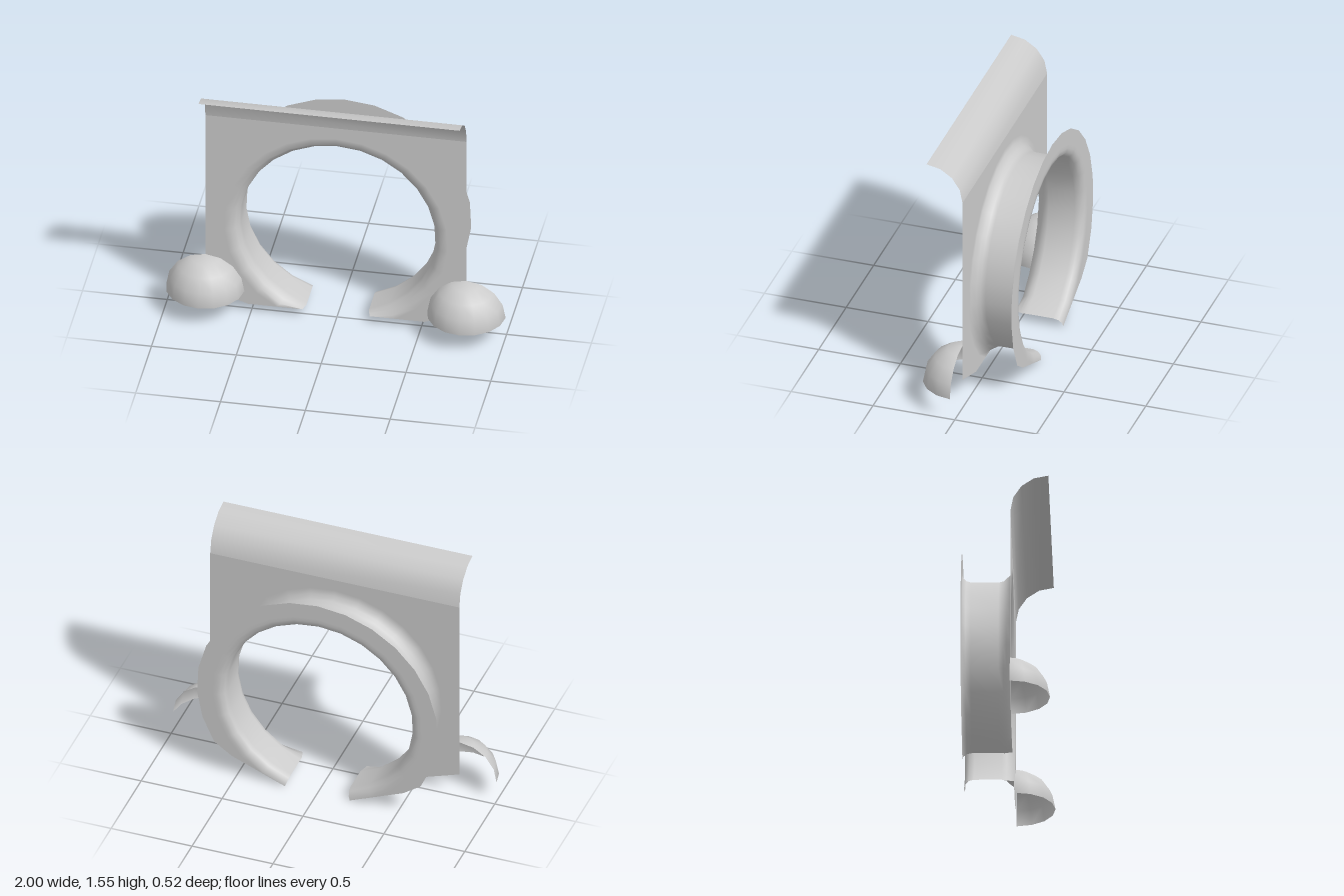
import * as THREE from 'three';

const material = new THREE.MeshStandardMaterial({ color: 0xcccccc, side: THREE.DoubleSide });
const CY = 0.597;                        // height of the ring's axis
const GAP = THREE.MathUtils.degToRad(18.6); // half of the opening at the bottom
const SEGS = 24;
const FLOOR = 0.05;                      // lower edge of the plate
const PLATE_Z = 0.03;

// Smooth open sheet from a rule point(i, j)
function sheet(name, nu, nv, point) {
  const pos = [], index = [];
  for (let i = 0; i <= nu; i++) for (let j = 0; j <= nv; j++) pos.push(...point(i, j));
  for (let i = 0; i < nu; i++) for (let j = 0; j < nv; j++) {
    const a = i * (nv + 1) + j, b = a + nv + 1;
    index.push(a, b, a + 1, b, b + 1, a + 1);
  }
  const g = new THREE.BufferGeometry();
  g.setAttribute('position', new THREE.Float32BufferAttribute(pos, 3));
  g.setIndex(index);
  g.computeVertexNormals();
  const m = new THREE.Mesh(g, material);
  m.name = name;
  return m;
}

// Point on the open ring, step i counted from the right-hand end of the gap
function ringPoint(i, r) {
  const t = GAP + (2 * Math.PI - 2 * GAP) * i / SEGS;
  return [r * Math.sin(t), CY - r * Math.cos(t)];
}

export function createModel() {
  const group = new THREE.Group();
  group.name = 'ringBracket';

  // Flat plate with an open round cut-out
  const outline = [[-0.52, FLOOR], [-0.77, 0.135], [-0.77, 1.33], [0.77, 1.33], [0.77, 0.135], [0.52, FLOOR]];
  for (let i = 0; i <= SEGS; i++) {
    const [x, y] = ringPoint(i, 0.66);
    outline.push([x, Math.max(y, FLOOR)]);
  }
  const shape = new THREE.Shape(outline.map(([x, y]) => new THREE.Vector2(x, y)));
  const plate = new THREE.Mesh(new THREE.ShapeGeometry(shape), material);
  plate.name = 'plate';
  plate.position.z = PLATE_Z;
  group.add(plate);

  // Top of the plate curling forward
  group.add(sheet('topLip', 4, 1, (i, j) => {
    const a = (i / 4) * Math.PI / 2;
    return [j ? 0.77 : -0.77, 1.33 + 0.22 * Math.sin(a), 0.25 - 0.22 * Math.cos(a)];
  }));

  // Collar: front fillet, tube wall, back fillet and flat flange (radius, z)
  const profile = [
    [0.66, 0.03], [0.62, 0.03], [0.598, 0.002], [0.58, -0.016], [0.573, -0.045],
    [0.573, -0.205], [0.582, -0.235], [0.602, -0.255], [0.628, -0.26], [0.65, -0.26], [0.745, -0.26],
  ];
  group.add(sheet('collar', SEGS, profile.length - 1, (i, j) => {
    const [r, z] = profile[j];
    const [x, y] = ringPoint(i, r);
    // front is trimmed level with the plate, back flange along a slanted line
    const trim = z > -0.1 ? FLOOR : 0.002 + 0.41 * (Math.abs(x) - 0.2);
    return [x, j > 8 || z > -0.1 ? Math.max(y, trim) : y, z];
  }));

  // Quarter-sphere shells at the lower corners
  for (const side of [1, -1]) {
    const dome = new THREE.Mesh(new THREE.SphereGeometry(0.23, 8, 4, 0, Math.PI, 0, Math.PI / 2), material);
    dome.name = side > 0 ? 'leftDome' : 'rightDome';
    dome.position.set(side * 0.77, 0.135, PLATE_Z);
    group.add(dome);
  }
  return group;
}
